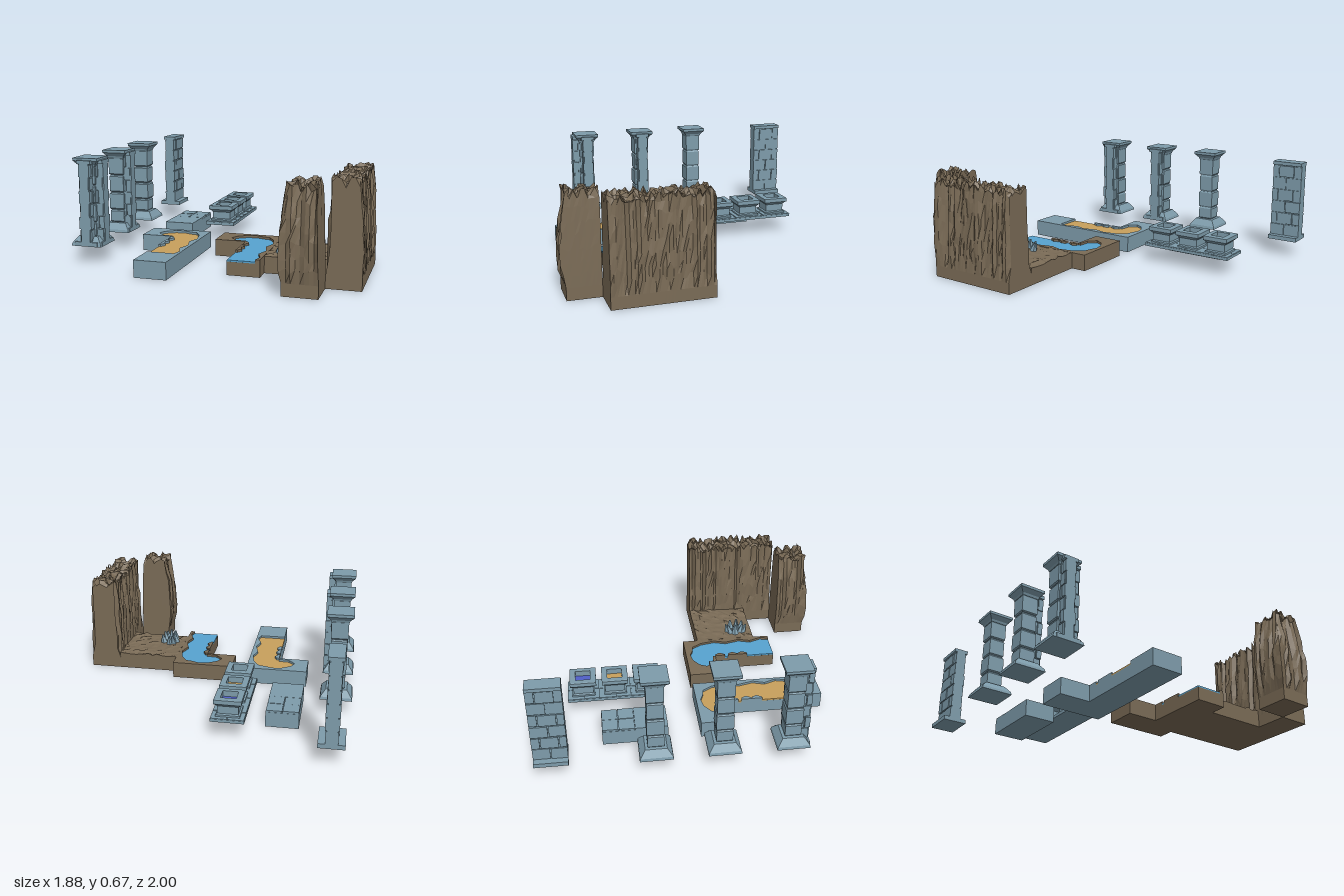
import * as THREE from 'three';

const material = (color) => new THREE.MeshStandardMaterial({ color, flatShading: true, side: THREE.DoubleSide });
const STONE = material(0x7e9cab), EARTH = material(0x7a6b56), SAND = material(0xc8a05c);
const WATER = material(0x57a3d0), DYE = material(0x5060c8);
const T = 0.207; // tile size
const TOP = 0.11; // floor height

// Repeatable noise from a position, 0..1
const hash = (a, b = 0, c = 0) => {
  const s = Math.sin(Math.round(a * 500) * 12.99 + Math.round(b * 500) * 78.23 + Math.round(c * 500) * 37.72) * 43758.55;
  return s - Math.floor(s);
};

function add(parent, name, geometry, mat, x = 0, y = 0, z = 0) {
  const g = geometry.index ? geometry.toNonIndexed() : geometry;
  g.computeVertexNormals();
  const m = new THREE.Mesh(g, mat);
  m.name = name;
  m.position.set(x, y, z);
  parent.add(m);
  return m;
}

function group(parent, name, x = 0, y = 0, z = 0) {
  const g = new THREE.Group();
  g.name = name;
  g.position.set(x, y, z);
  parent.add(g);
  return g;
}

// Box given by its limits
function box(parent, name, mat, x0, x1, y0, y1, z0, z1) {
  return add(parent, name, new THREE.BoxGeometry(x1 - x0, y1 - y0, z1 - z0), mat, (x0 + x1) / 2, (y0 + y1) / 2, (z0 + z1) / 2);
}

// Square turned profile: pairs of [half width, height]
const square = (profile) =>
  new THREE.LatheGeometry(profile.map(([w, y]) => new THREE.Vector2(w * Math.SQRT2, y)), 4, Math.PI / 4);

// Plan outline of [x, z] points raised to a height
function slab(points, height) {
  const shape = new THREE.Shape(points.map(([x, z]) => new THREE.Vector2(x, -z)));
  return new THREE.ExtrudeGeometry(shape, { depth: height, bevelEnabled: false }).rotateX(-Math.PI / 2);
}

// Brick courses along z between z0 and z1, centred on x = 0
function brickwork(parent, z0, z1, brick) {
  box(parent, 'wallCore', STONE, -0.03, 0.03, 0.02, 0.54, z0, z1);
  const rows = 6, h = 0.5 / rows;
  for (let r = 0; r < rows; r++) {
    const y = 0.028 + r * h;
    let a = z0;
    for (let i = 0; a < z1 - 0.005; i++) {
      const b = Math.min(z1, a + (i === 0 && r % 2 ? brick * 0.5 : brick));
      const w = 0.035 + 0.007 * hash(r, i, z0);
      box(parent, 'brick', STONE, -w, w, y, y + h - 0.007, a, b - (b < z1 ? 0.006 : 0));
      a = b;
    }
  }
  box(parent, 'wallCap', STONE, -0.047, 0.047, 0.527, 0.55, z0, z1);
}

// Column with optional wall stubs, given as turns about y
function pillar(parent, name, z, stubs) {
  const p = group(parent, name, -0.836, TOP, z);
  add(p, 'base', square([[0, 0], [0.102, 0], [0.098, 0.018], [0.066, 0.06], [0, 0.06]]), STONE);
  box(p, 'shaftCore', STONE, -0.044, 0.044, 0.05, 0.53, -0.044, 0.044);
  const joints = [0.06, 0.15, 0.27, 0.39, 0.515];
  for (let i = 0; i < 4; i++) {
    const a = joints[i], b = joints[i + 1] - 0.004, w = 0.05 + 0.003 * (i % 2);
    add(p, 'shaftBlock', square([[0, a], [w - 0.006, a], [w, a + 0.008], [w, b - 0.008], [w - 0.006, b], [0, b]]), STONE);
  }
  add(p, 'capital', square([[0, 0.505], [0.055, 0.505], [0.06, 0.52], [0.078, 0.54], [0.083, 0.545], [0.083, 0.563], [0, 0.563]]), STONE);
  for (const turn of stubs) {
    const s = group(p, 'wallStub');
    s.rotation.y = turn;
    brickwork(s, 0.04, 0.102, 0.06);
    box(s, 'stubFoot', STONE, -0.078, 0.078, 0, 0.028, 0.04, 0.102);
  }
}

// Two by two paving stones on one tile
function paving(parent, x, z, y, h) {
  for (const i of [0, 1]) for (const j of [0, 1]) {
    const a = x + i * T / 2 + 0.002, b = z + j * T / 2 + 0.002, s = T / 2 - 0.004;
    const drop = 0.004 * hash(i, j, x);
    box(parent, 'pavingStone', STONE, a, a + s, y, y + h - drop, b, b + s);
  }
}

// Trough bank: wavy inner edge, shared by the bank and its filling
const INNER = [[-0.24, 0.66], [-0.225, 0.6], [-0.255, 0.52], [-0.23, 0.44], [-0.255, 0.34], [-0.23, 0.26],
  [-0.25, 0.16], [-0.29, 0.095], [-0.34, 0.085], [-0.385, 0.065], [-0.45, 0.075], [-0.51, 0.115],
  [-0.535, 0.165], [-0.49, 0.215], [-0.418, 0.222]];
const ELL = [[-0.625, 0.24], [-0.625, 0.035], [-0.21, 0.035], [-0.21, 0.66], [-0.418, 0.66], [-0.418, 0.24]];

function trough(parent, name, x, mat, fill, fillName) {
  const g = group(parent, name, x);
  add(g, 'bed', slab(ELL, 0.085), mat);
  const bank = [[-0.418, 0.24], ...ELL.slice(0, 4), ...INNER];
  add(g, 'bank', slab(bank, TOP - 0.085), mat, 0, 0.085);
  for (const z of [0.24, 0.33, 0.4])
    add(g, 'bankStone', slab([[-0.418, z], [-0.4, z + 0.005], [-0.385, z + 0.035], [-0.405, z + 0.07], [-0.418, z + 0.07]], TOP - 0.085), mat, 0, 0.085);
  add(g, fillName, slab([...INNER, [-0.417, 0.659]], 0.01), fill, 0, 0.085);
  return g;
}

// Jagged rock: streaked on the chosen faces, flat below and on the rest
function cliff(parent, name, x0, x1, z0, z1, rough) {
  const w = x1 - x0, d = z1 - z0, H = 0.61;
  const g = new THREE.BoxGeometry(w, H, d, Math.round(w / 0.026), 8, Math.round(d / 0.02));
  g.translate((x0 + x1) / 2, H / 2, (z0 + z1) / 2);
  const p = g.attributes.position, near = (a, b) => Math.abs(a - b) < 1e-4;
  for (let i = 0; i < p.count; i++) {
    const x = p.getX(i), y = p.getY(i), z = p.getZ(i), t = y / H;
    if (y < 0.1) continue;
    // inward depth: lean plus vertical gullies that deepen with height
    const gully = Math.pow(hash(x, z), 2) * 0.04 * Math.sqrt(t) + (hash(x, y, z) - 0.5) * 0.014;
    const depth = 0.018 * t * t + gully - rough.bulge * Math.sin(t * Math.PI);
    let nx = x, nz = z, ny = y;
    if (near(x, x0)) nx += rough.left ? depth : 0.02 * t * t;
    if (near(x, x1)) nx -= rough.right ? depth : 0.02 * t * t;
    if (near(z, z1) && rough.front) nz -= depth;
    const onSide = near(x, x0) || near(x, x1) || near(z, z0) || near(z, z1);
    if (near(y, H)) {
      ny += (hash(x, z, 3) - 0.35) * 0.07;
      if (!onSide) {
        nx += (hash(x, z, 5) - 0.5) * 0.018;
        nz += (hash(x, z, 7) - 0.5) * 0.018;
      }
    } else if (onSide && y > 0.15) ny += (hash(x, z, y + 1) - 0.5) * 0.05;
    p.setXYZ(i, nx, ny, nz);
  }
  add(parent, name, g, EARTH);
}

export function createModel() {
  const model = new THREE.Group();
  model.name = 'dungeonTerrainSet';

  // Free-standing wall
  const wall = group(model, 'brickWall', -0.833, TOP, -0.897);
  box(wall, 'wallFoot', STONE, -0.078, 0.078, 0, 0.028, -0.103, 0.103);
  brickwork(wall, -0.103, 0.103, 0.11);

  // Pillars: corner, wall end and plain
  pillar(model, 'cornerPillar', 0.555, [0, Math.PI / 2]);
  pillar(model, 'wallEndPillar', 0.138, [Math.PI / 2]);
  pillar(model, 'plainPillar', -0.275, []);

  // Paved block beside a plain block
  const floor = group(model, 'stoneFloor');
  box(floor, 'plainBlock', STONE, -0.625, -0.418, 0, TOP, -0.382, -0.175);
  box(floor, 'pavedBlock', STONE, -0.625, -0.418, 0, 0.098, -0.589, -0.382);
  paving(floor, -0.625, -0.589, 0.098, 0.014);

  // Three square basins on a paved footing
  [[-0.692, DYE], [-0.485, SAND], [-0.278, null]].forEach(([z, fill]) => {
    const b = group(model, 'basin', -0.212, TOP, z);
    box(b, 'footing', STONE, -T / 2, T / 2, 0, 0.018, -T / 2, T / 2);
    paving(b, -T / 2, -T / 2, 0.018, 0.008);
    add(b, 'basinWall', square([[0.074, 0.02], [0.074, 0.034], [0.064, 0.04], [0.064, 0.088], [0.075, 0.1],
      [0.085, 0.108], [0.085, 0.134], [0.08, 0.137], [0.048, 0.137], [0.048, 0.02]]), STONE);
    if (fill) box(b, 'basinFilling', fill, -0.048, 0.048, 0.03, 0.1, -0.048, 0.048);
  });

  // Sand and water channels
  const sand = trough(model, 'sandChannel', 0, STONE, SAND, 'sand');
  box(sand, 'endBlock', STONE, -0.418, -0.21, 0, TOP, 0.66, 0.868);
  trough(model, 'waterChannel', 0.517, EARTH, WATER, 'water');

  // Uneven earth floor
  const ground = new THREE.BoxGeometry(0.415, TOP, 0.415, 14, 1, 14).translate(0.5125, TOP / 2, 0.3475);
  const gp = ground.attributes.position;
  for (let i = 0; i < gp.count; i++)
    if (gp.getY(i) > 0.1) gp.setY(i, TOP + Math.pow(hash(gp.getX(i), gp.getZ(i)), 4) * 0.014 - 0.004);
  add(model, 'earthFloor', ground, EARTH);

  // Cliffs
  cliff(model, 'longCliff', 0.72, 0.93, 0.14, 0.765, { left: true, right: true, bulge: 0.004 });
  cliff(model, 'cornerCliff', 0.51, 0.72, 0.765, 0.975, { left: true, front: true, bulge: 0.028 });

  // Rock cluster on the earth floor
  const rocks = group(model, 'rockCluster', 0.41, TOP - 0.005, 0.44);
  for (let i = 0; i < 9; i++) {
    const a = i * 2.4, r = i === 0 ? 0 : 0.035 + 0.03 * hash(i, 1), h = 0.095 - r * 0.6;
    const shard = new THREE.CylinderGeometry(0.006, 0.026, h, 5).translate(0, h / 2, 0);
    const m = add(rocks, 'rockShard', shard, STONE, Math.cos(a) * r, 0, Math.sin(a) * r);
    m.rotation.set(Math.sin(a) * r * 6, a, -Math.cos(a) * r * 6);
  }
  return model;
}
